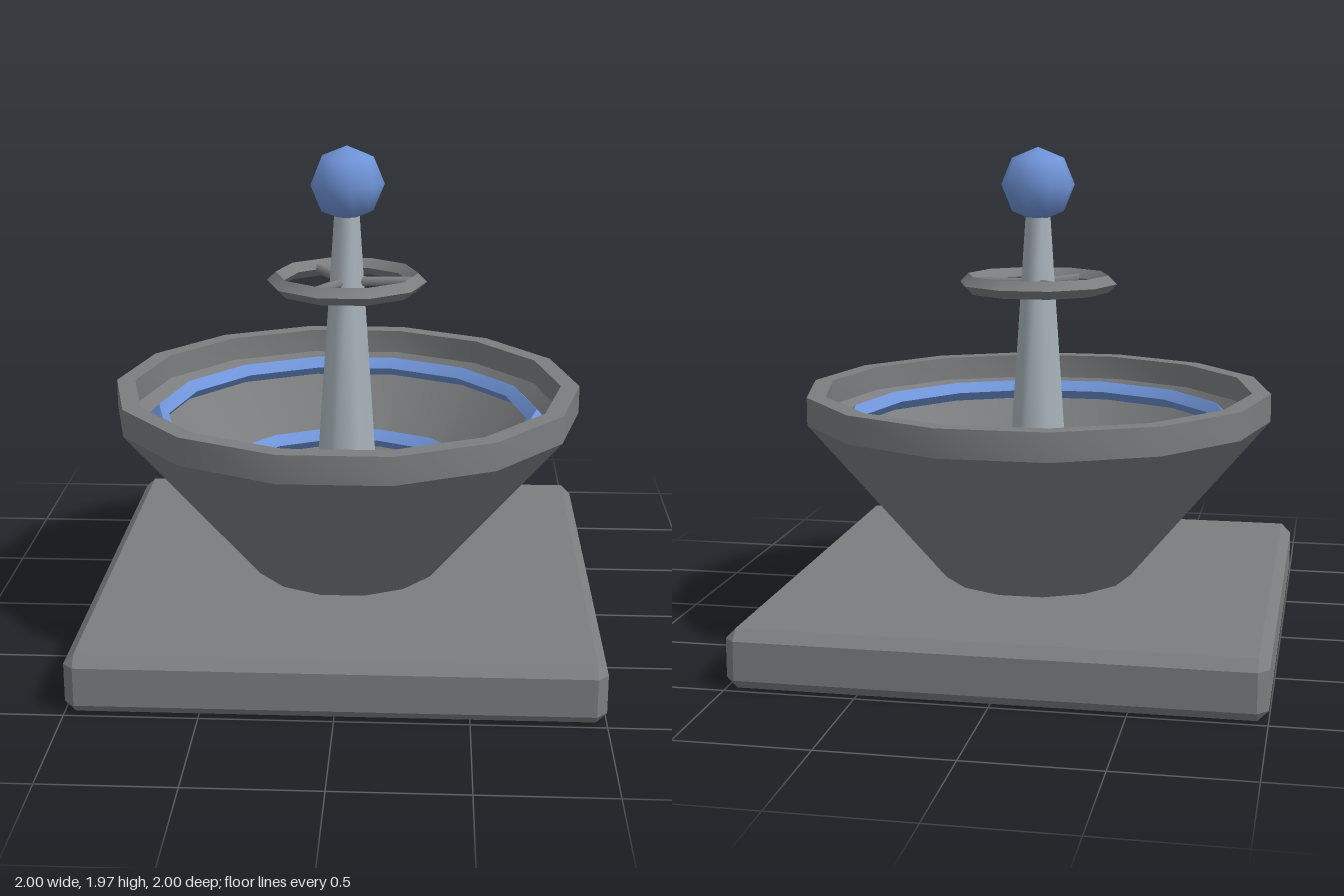
import * as THREE from 'three';
import { toCreasedNormals } from 'three/addons/utils/BufferGeometryUtils.js';
import { ConvexGeometry } from 'three/addons/geometries/ConvexGeometry.js';

const material = (name, color) => new THREE.MeshStandardMaterial({ name, color });

export function createModel() {
  const model = new THREE.Group();
  model.name = 'basinWithPost';
  const gray = material('stone gray', 0x7b7d7f);
  const blue = material('accent blue', 0x6f94d8);
  const silver = material('pale steel', 0xaab5bc);

  function add(name, geometry, mat, y = 0, parent = model) {
    const mesh = new THREE.Mesh(geometry, mat);
    mesh.name = name;
    mesh.position.y = y;
    parent.add(mesh);
    return mesh;
  }

  // Horizontal ring with a diamond cross-section
  function diamondRing(radius, tube, sides) {
    const g = new THREE.TorusGeometry(radius, tube, 4, sides);
    g.rotateX(Math.PI / 2);
    return toCreasedNormals(g, 0.7);
  }

  // Square base slab with every edge and corner chamfered
  const half = [1, 0.115, 1], chamfer = 0.04, corners = [];
  for (const sx of [-1, 1]) for (const sy of [-1, 1]) for (const sz of [-1, 1]) {
    for (let axis = 0; axis < 3; axis++) {
      const p = half.map((h, i) => (i === axis ? h : h - chamfer));
      corners.push(new THREE.Vector3(p[0] * sx, p[1] * sy, p[2] * sz));
    }
  }
  add('base', new ConvexGeometry(corners), gray, 0.115);

  // Fourteen-sided bowl: outer cone, upright rim, inner wall and floor
  const profile = [
    [0.385, 0.23], [0.94, 0.89], [0.94, 1], [0.865, 1],
    [0.865, 0.9], [0.38, 0.32], [0, 0.32],
  ].map(([r, y]) => new THREE.Vector2(r, y));
  const bowl = new THREE.LatheGeometry(profile, 14, Math.PI / 2);
  add('bowl', toCreasedNormals(bowl, 0.55), gray);

  // Blue rings inside the bowl
  add('upperBowlRing', diamondRing(0.77, 0.04, 14), blue, 0.86);
  add('lowerBowlRing', diamondRing(0.535, 0.04, 14), blue, 0.595);

  // Tapered six-sided post
  const post = new THREE.CylinderGeometry(0.05, 0.142, 1.38, 6);
  post.rotateY(Math.PI / 2);
  add('post', post, silver, 1.01);

  // Ball on top
  const ball = new THREE.SphereGeometry(0.149, 9, 4);
  ball.rotateY(Math.PI);
  add('ball', ball, blue, 1.817);

  // Small wheel around the post, held by three spokes
  const wheel = new THREE.Group();
  wheel.name = 'wheel';
  wheel.position.y = 1.425;
  model.add(wheel);
  add('wheelRim', diamondRing(0.285, 0.035, 10), gray, 0, wheel);
  for (let i = 0; i < 3; i++) {
    const spoke = new THREE.CylinderGeometry(0.02, 0.02, 0.27, 6);
    spoke.rotateZ(Math.PI / 2);
    spoke.translate(0.135, 0, 0);
    add('spoke', spoke, gray, 0, wheel).rotation.y = (i * Math.PI * 2) / 3;
  }

  return model;
}
